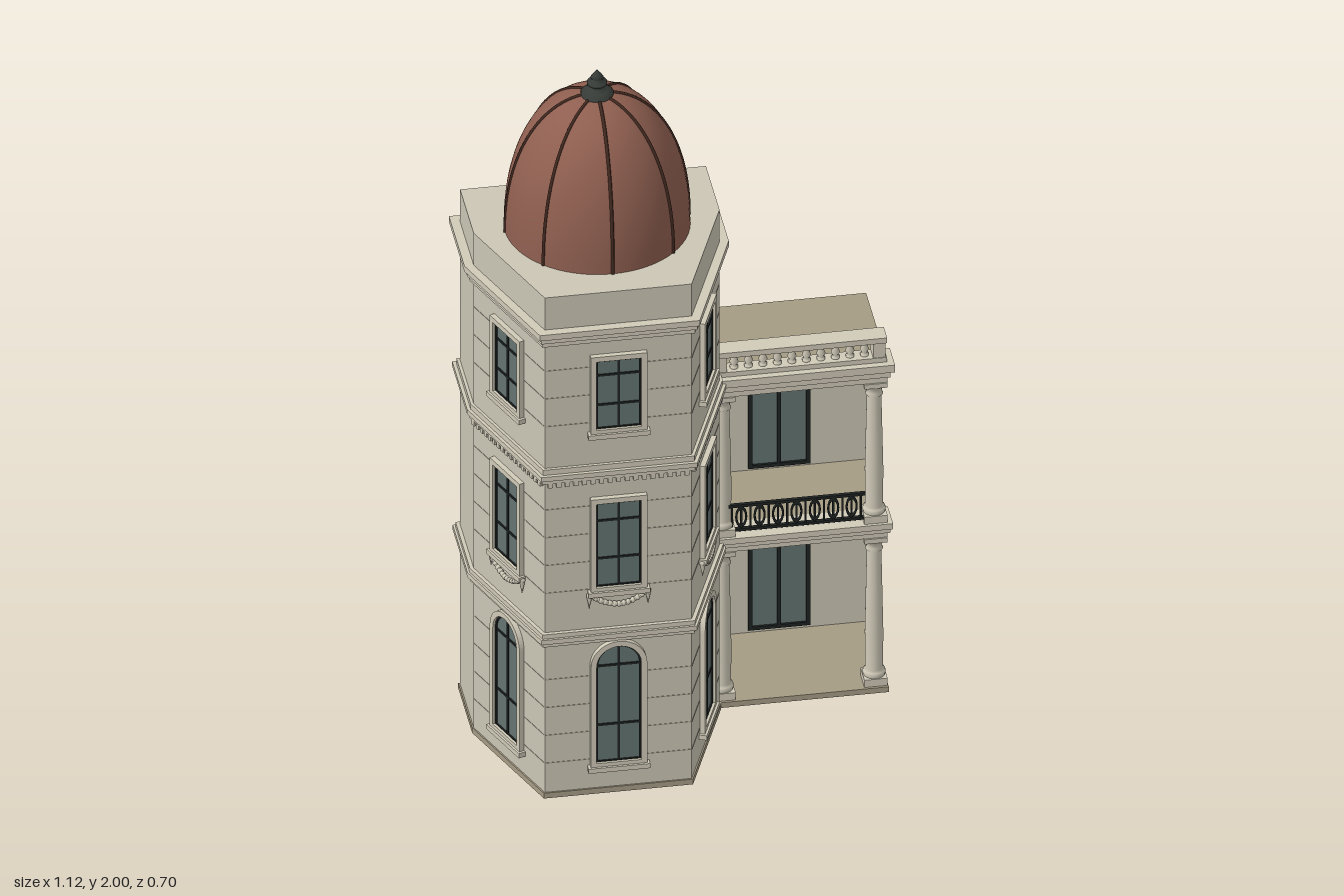
import * as THREE from 'three';

const mat = (name, color, side = THREE.FrontSide) => {
  const m = new THREE.MeshStandardMaterial({ color, side });
  m.name = name;
  return m;
};

export function createModel() {
  const root = new THREE.Group();
  root.name = 'domedTowerHouse';
  const stone = mat('wall stone', 0xcbc6b5);
  const trim = mat('carved stone', 0xd0cab8);
  const joint = mat('masonry joint', 0xaea896);
  const tan = mat('floor stone', 0xa59b84);
  const glass = mat('window glass', 0x637371);
  const iron = mat('black iron', 0x1d2221);
  const copper = mat('dome copper', 0x8f5f50);
  const rib = mat('dome rib', 0x40281f);
  const bronze = mat('finial bronze', 0x363b37);

  const add = (name, geo, material, x = 0, y = 0, z = 0, parent = root) => {
    const m = new THREE.Mesh(geo, material);
    m.name = name;
    m.position.set(x, y, z);
    parent.add(m);
    return m;
  };
  // Box given by its minimum and maximum corners
  const box = (name, x0, x1, y0, y1, z0, z1, material, parent = root) =>
    add(name, new THREE.BoxGeometry(x1 - x0, y1 - y0, z1 - z0), material,
      (x0 + x1) / 2, (y0 + y1) / 2, (z0 + z1) / 2, parent);
  const lathe = (pts, seg) => new THREE.LatheGeometry(pts.map(p => new THREE.Vector2(...p)), seg);

  // Six-sided tower plan, pushed outwards by d
  const CX = -0.22;
  const prism = (name, y0, y1, d, material) => {
    const w = 0.318 + d, f = 0.19 + d * 0.7, b = -0.204 - d * 1.2, z = 0.325 + d;
    const s = new THREE.Shape([[-w, b], [-w, 0], [-f, z], [f, z], [w, 0], [w, b]]
      .map(([x, q]) => new THREE.Vector2(x, -q)));
    const g = new THREE.ExtrudeGeometry(s, { depth: y1 - y0, bevelEnabled: false });
    g.rotateX(-Math.PI / 2);
    return add(name, g, material, CX, y0, 0);
  };
  prism('towerPlinth', 0, 0.016, 0.004, tan);
  prism('towerWall', 0.016, 1.4, 0, stone);
  // Stepped cornices between the storeys: [bottom, top, projection]
  [[0.465, 0.478, 0.008], [0.478, 0.492, 0.016], [0.492, 0.505, 0.01],
    [0.965, 0.978, 0.01], [0.978, 0.992, 0.017], [0.992, 1.008, 0.008],
    [1.385, 1.4, 0.01], [1.4, 1.415, 0.017], [1.415, 1.432, 0.024]]
    .forEach(([a, b, d]) => prism('towerCornice', a, b, d, trim));
  prism('parapet', 1.432, 1.53, 0, stone);

  // Window opening outline, arched or square
  const outline = (Path, hw, y0, y1, arched) => {
    const p = new Path();
    p.moveTo(-hw, y0);
    p.lineTo(hw, y0);
    if (arched) {
      p.lineTo(hw, y1 - hw);
      p.absarc(0, y1 - hw, hw, 0, Math.PI, false);
    } else {
      p.lineTo(hw, y1);
      p.lineTo(-hw, y1);
    }
    p.closePath();
    return p;
  };
  const ring = (hw, y0, y1, t, depth, arched) => {
    const s = outline(THREE.Shape, hw, y0, y1, arched);
    s.holes.push(outline(THREE.Path, hw - t, y0 + t, y1 - t, arched));
    return new THREE.ExtrudeGeometry(s, { depth, bevelEnabled: false, curveSegments: 12 });
  };
  const addWindow = (parent, y0, y1, arched, bars) => {
    const g = new THREE.Group();
    g.name = 'towerWindow';
    parent.add(g);
    add('windowSurround', ring(0.073, y0 - 0.012, y1 + 0.014, 0.015, 0.014, arched), trim, 0, 0, 0, g);
    add('windowFrame', ring(0.059, y0, y1, 0.006, 0.007, arched), iron, 0, 0, 0, g);
    add('windowGlass', new THREE.ShapeGeometry(outline(THREE.Shape, 0.056, y0, y1 - 0.003, arched)), glass, 0, 0, 0.003, g);
    box('mullion', -0.003, 0.003, y0, y1, 0, 0.006, iron, g);
    bars.forEach(y => box('glazingBar', -0.056, 0.056, y - 0.003, y + 0.003, 0, 0.006, iron, g));
    box('windowSill', -0.08, 0.08, y0 - 0.022, y0 - 0.008, 0, 0.02, trim, g);
  };
  // Hanging swag with two end drops
  const addGarland = parent => {
    const curve = new THREE.QuadraticBezierCurve3(
      new THREE.Vector3(-0.072, 0.612, 0.01), new THREE.Vector3(0, 0.55, 0.014), new THREE.Vector3(0.072, 0.612, 0.01));
    add('garland', new THREE.TubeGeometry(curve, 20, 0.006, 6), trim, 0, 0, 0, parent);
    for (let i = 1; i < 12; i++) {
      const p = curve.getPoint(i / 12);
      add('garlandLeaf', new THREE.SphereGeometry(0.008, 6, 5), trim, p.x, p.y, p.z, parent);
    }
    for (const s of [-1, 1]) {
      add('garlandKnot', new THREE.SphereGeometry(0.01, 8, 6), trim, s * 0.074, 0.612, 0.008, parent);
      add('garlandDrop', new THREE.ConeGeometry(0.008, 0.04, 8).rotateX(Math.PI), trim, s * 0.076, 0.59, 0.008, parent);
    }
  };

  // Three decorated faces: [centre x, centre z, heading, half width]
  const slope = Math.atan2(0.325, 0.128);
  [[CX, 0.325, 0, 0.188], [CX + 0.254, 0.1625, slope, 0.172], [CX - 0.254, 0.1625, -slope, 0.172]]
    .forEach(([x, z, ry, hw]) => {
      const face = new THREE.Group();
      face.name = 'towerFace';
      face.position.set(x, 0, z);
      face.rotation.y = ry;
      root.add(face);
      addWindow(face, 0.095, 0.452, true, [0.21, 0.39]);
      addWindow(face, 0.632, 0.892, false, [0.72, 0.835]);
      addWindow(face, 1.115, 1.328, false, [1.19, 1.28]);
      addGarland(face);
      for (const base of [0.02, 0.54, 1.05])
        for (let i = 1; i < 5; i++) {
          const y = base + i * 0.085;
          for (const s of [-1, 1])
            box('masonryJoint', Math.min(s * 0.073, s * hw), Math.max(s * 0.073, s * hw),
              y - 0.0012, y + 0.0012, 0, 0.001, joint, face);
        }
      for (let i = -8; i <= 8; i++)
        box('dentil', i * hw / 8.5 - 0.006, i * hw / 8.5 + 0.006, 0.952, 0.966, 0, 0.01, trim, face);
    });

  // Dome with eight ribs and a finial
  const dome = new THREE.Group();
  dome.name = 'dome';
  dome.position.set(CX, 1.53, 0.007);
  root.add(dome);
  const profile = [];
  for (let i = 0; i <= 24; i++) {
    const a = i / 24 * Math.PI / 2;
    profile.push([0.238 * Math.cos(a) ** 0.9, 0.4 * Math.sin(a) ** 0.93]);
  }
  profile[24][0] = 0;
  add('domeShell', lathe(profile, 64), copper, 0, 0, 0, dome);
  add('domeUnderside', new THREE.CircleGeometry(0.238, 64).rotateX(Math.PI / 2), rib, 0, 0.001, 0, dome);
  const ribCurve = new THREE.CatmullRomCurve3(profile.slice(0, 24).map(([r, y]) => new THREE.Vector3(r, y, 0)));
  const ribGeo = new THREE.TubeGeometry(ribCurve, 32, 0.0045, 6);
  for (let i = 0; i < 8; i++) add('domeRib', ribGeo, rib, 0, 0, 0, dome).rotation.y = i * Math.PI / 4;
  add('finial', lathe([[0.042, 0.39], [0.042, 0.402], [0.028, 0.408], [0.014, 0.414], [0.014, 0.422], [0.026, 0.428],
    [0.026, 0.434], [0.012, 0.44], [0.017, 0.447], [0.012, 0.455], [0.006, 0.462], [0, 0.47]], 20), bronze, 0, 0, 0, dome);

  // Side loggia: slabs and back wall
  box('groundSlab', 0.07, 0.537, 0, 0.016, -0.345, -0.005, tan);
  box('balconyFloor', 0.07, 0.537, 0.5, 0.513, -0.345, -0.01, tan);
  box('loggiaRoof', 0.07, 0.537, 0.985, 0.998, -0.347, -0.01, tan);
  box('loggiaBackWall', 0.07, 0.537, 0.016, 0.985, -0.342, -0.312, stone);

  // Glazed doors, seen from both sides
  [[0.03, 0.44], [0.525, 0.93]].forEach(([y0, y1]) => {
    const door = new THREE.Group();
    door.name = 'balconyDoor';
    door.position.set(0.305, 0, -0.312);
    root.add(door);
    box('doorGlass', -0.076, 0.076, y0, y1, 0, 0.003, glass, door);
    box('doorGlassBack', -0.076, 0.076, y0, y1, -0.033, -0.03, glass, door);
    add('doorFrame', ring(0.08, y0 - 0.003, y1 + 0.003, 0.01, 0.009, false), iron, 0, 0, 0, door);
    box('doorStile', -0.005, 0.005, y0, y1, 0, 0.008, iron, door);
    box('doorTransom', -0.076, 0.076, y1 - 0.054, y1 - 0.046, 0, 0.008, iron, door);
  });

  // Entablatures over both column tiers
  [[0.468, 0.484, 0.535, 0.012], [0.484, 0.498, 0.542, 0.006], [0.498, 0.515, 0.548, 0],
    [0.942, 0.96, 0.535, 0.012], [0.96, 0.978, 0.542, 0.006], [0.978, 1, 0.553, 0]]
    .forEach(([a, b, x, inset]) => box('loggiaEntablature', 0.09, x, a, b, -0.084 + inset, -0.004 - inset, trim));

  // Columns with square plinths and capitals
  const column = (x, y0, y1) => {
    const h = y1 - y0;
    box('columnPlinth', x - 0.03, x + 0.03, y0, y0 + 0.022, -0.072, -0.012, trim);
    box('columnCapital', x - 0.03, x + 0.03, y1 - 0.014, y1, -0.072, -0.012, trim);
    add('columnShaft', lathe([[0.028, 0.022], [0.03, 0.03], [0.028, 0.037], [0.023, 0.042], [0.024, 0.15],
      [0.019, h - 0.05], [0.023, h - 0.045], [0.019, h - 0.038], [0.021, h - 0.025], [0.029, h - 0.014]], 20), trim, x, y0, -0.042);
  };
  for (const x of [0.112, 0.505]) {
    column(x, 0.016, 0.468);
    column(x, 0.515, 0.942);
  }

  // Iron balcony railing with alternating ovals
  for (const y of [0.528, 0.601]) box('railingRail', 0.125, 0.48, y - 0.004, y + 0.004, -0.032, -0.022, iron);
  for (let i = 0; i <= 14; i++) {
    const x = 0.135 + i * 0.0238;
    box('railingBar', x - 0.0025, x + 0.0025, 0.528, 0.601, -0.0295, -0.0245, iron);
    if (i % 2) {
      const o = add('railingOval', new THREE.TorusGeometry(0.013, 0.0028, 6, 16), iron, x, 0.565, -0.027);
      o.scale.y = 2.1;
    }
  }

  // Stone roof balustrade
  box('balustradeBase', 0.1, 0.535, 1, 1.014, -0.066, -0.022, trim);
  box('balustradeRail', 0.1, 0.535, 1.06, 1.076, -0.07, -0.018, trim);
  box('balustradePier', 0.5, 0.532, 1.014, 1.06, -0.064, -0.024, trim);
  box('balustradePier', 0.1, 0.122, 1.014, 1.06, -0.064, -0.024, trim);
  const balusterGeo = lathe([[0.011, 0], [0.011, 0.005], [0.006, 0.008], [0.012, 0.018], [0.006, 0.034], [0.01, 0.04], [0.01, 0.046]], 10);
  for (let i = 0; i < 10; i++) add('baluster', balusterGeo, trim, 0.143 + i * 0.0375, 1.014, -0.044);

  return root;
}
